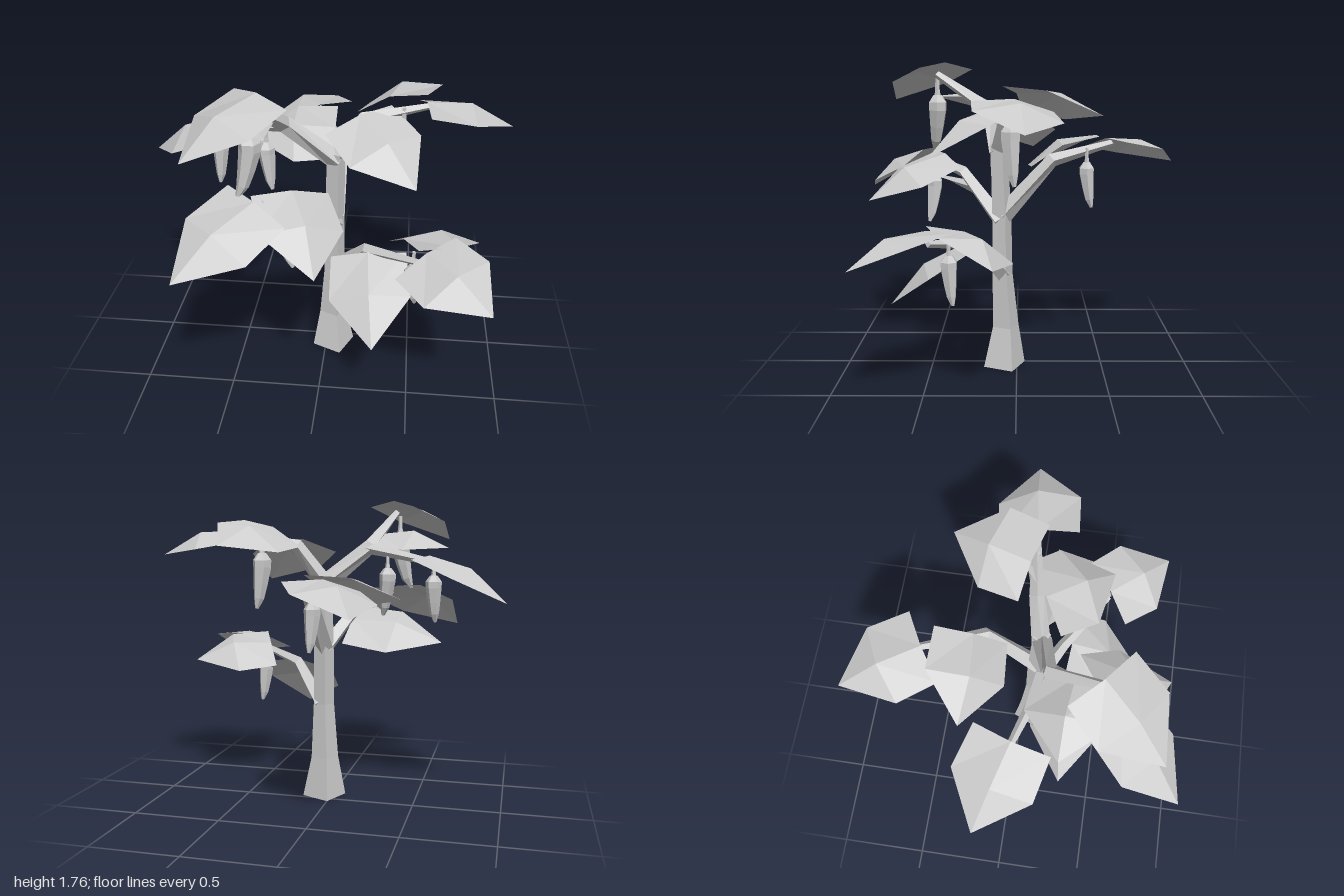
import * as THREE from 'three';

const V = (a) => new THREE.Vector3(...a);
const solid = () => new THREE.MeshStandardMaterial({ color: 0xcccccc, flatShading: true });
const thin = () => new THREE.MeshStandardMaterial({ color: 0xcccccc, flatShading: true, side: THREE.DoubleSide });

function meshFrom(name, verts, faces, material) {
  const geo = new THREE.BufferGeometry();
  geo.setAttribute('position', new THREE.Float32BufferAttribute(verts.flatMap((v) => [v.x, v.y, v.z]), 3));
  geo.setIndex(faces.flat());
  geo.computeVertexNormals();
  const mesh = new THREE.Mesh(geo, material);
  mesh.name = name;
  return mesh;
}

// Tapered polygonal limb through the given points, capped at both ends
function limb(name, path, radii, sides, ref) {
  const pts = path.map(V), verts = [], faces = [];
  pts.forEach((p, i) => {
    const t = pts[Math.min(i + 1, pts.length - 1)].clone().sub(pts[Math.max(i - 1, 0)]).normalize();
    // The foot of a limb standing on the ground is cut level
    if (p.y === 0) t.set(0, 1, 0);
    const n = V(ref).addScaledVector(t, -V(ref).dot(t)).normalize();
    const b = t.clone().cross(n);
    for (let j = 0; j < sides; j++) {
      const a = (j / sides) * Math.PI * 2;
      verts.push(p.clone().addScaledVector(n, Math.cos(a) * radii[i]).addScaledVector(b, Math.sin(a) * radii[i]));
    }
  });
  const last = (pts.length - 1) * sides, c0 = verts.length;
  verts.push(pts[0], pts[pts.length - 1]);
  for (let j = 0; j < sides; j++) {
    const k = (j + 1) % sides;
    for (let r = 0; r < last; r += sides) {
      faces.push([r + j, r + k, r + sides + k], [r + j, r + sides + k, r + sides + j]);
    }
    faces.push([c0, k, j], [c0 + 1, last + j, last + k]);
  }
  return meshFrom(name, verts, faces, solid());
}

// Folded, drooping leaf from its base to its tip; tilt raises one side
function leaf(base, tip, tilt) {
  const b = V(base), d = V(tip).sub(b), dir = d.clone().normalize();
  const side = new THREE.Vector3(d.z, 0, -d.x).normalize();
  side.y = tilt;
  side.addScaledVector(dir, -side.dot(dir)).normalize();
  const up = dir.clone().cross(side);
  const at = (u, v, h) => b.clone().addScaledVector(d, u).addScaledVector(side, v).addScaledVector(up, h);
  const verts = [
    at(0, 0.21, -0.04), at(0, 0, 0), at(0, -0.21, -0.04),
    at(0.48, 0.222, -0.01), at(0.48, 0, 0.06), at(0.48, -0.222, -0.01), at(1, 0, 0),
  ];
  const faces = [[0, 1, 4], [0, 4, 3], [1, 2, 5], [1, 5, 4], [3, 4, 6], [4, 5, 6]];
  return meshFrom('leaf', verts, faces, thin());
}

// Hanging pepper: thin stem, shouldered cap and a bent, tapering pod
function pepper([x, y, z], size, bendX, bendZ) {
  const g = new THREE.Group();
  g.name = 'pepper';
  const p = (drop, bend) => [x + bend * bendX, y - drop * size, z + bend * bendZ];
  g.add(limb('pepperStem', [p(0, 0), p(0.06, 0), p(0.11, 0)], [0.01, 0.012, 0.02].map((r) => r * size), 5, [1, 0, 0]));
  g.add(limb('pepperPod',
    [p(0.085, 0), p(0.12, 0), p(0.155, 0), p(0.24, 0.3), p(0.31, 0.6), p(0.36, 1)],
    [0.022, 0.048, 0.047, 0.037, 0.027, 0.009].map((r) => r * size), 6, [1, 0, 0]));
  return g;
}

export function createModel() {
  const plant = new THREE.Group();
  plant.name = 'pepperPlant';

  // Four-sided trunk
  plant.add(limb('trunk',
    [[0.045, 0, 0.0725], [0.04, 0.24, 0.065], [0.05, 0.56, 0.082], [0.05, 0.9, 0.085], [0.055, 1.31, 0.1]],
    [0.128, 0.08, 0.061, 0.058, 0.05], 4, [0.36, 0, 0.93]));

  // Branches: path and radii
  const branches = [
    ['upperRightBranch', [[0.06, 1.26, 0.1], [-0.21, 1.49, 0.17], [-0.31, 1.69, 0.48]], [0.055, 0.045, 0.022]],
    ['sideRightBranch', [[-0.19, 1.48, 0.17], [-0.4, 1.44, 0.09], [-0.6, 1.4, 0.02]], [0.035, 0.026, 0.018]],
    ['upperLeftBranch', [[0.04, 1.26, 0.1], [0.2, 1.49, 0.05], [0.55, 1.555, 0]], [0.052, 0.04, 0.018]],
    ['backBranch', [[0.05, 0.9, 0.08], [0.06, 1.22, -0.2], [-0.1, 1.3, -0.55]], [0.055, 0.04, 0.02]],
    ['frontRightBranch', [[0.06, 0.87, 0.09], [-0.11, 1.13, 0.31], [-0.28, 1.2, 0.52]], [0.052, 0.036, 0.02]],
    ['frontLeftBranch', [[0.06, 0.56, 0.08], [0.24, 0.78, 0.22], [0.56, 0.85, 0.45]], [0.05, 0.035, 0.018]],
  ];
  for (const [name, path, radii] of branches) plant.add(limb(name, path, radii, 4, [0, 1, 0]));

  // Leaves: base, tip, tilt
  const leaves = [
    [[-0.57, 1.44, 0.03], [-1, 1.19, -0.11], -0.1],
    [[-0.1, 1.33, -0.52], [-0.33, 1.17, -0.945], -0.15],
    [[0.02, 1.3, -0.26], [-0.47, 1.21, -0.27], -0.45],
    [[0.33, 1.6, 0], [0.5, 1.495, -0.435], -0.42],
    [[0.18, 1.53, 0.1], [0.49, 1.28, 0.45], 0.25],
    [[0.53, 1.58, 0.01], [0.995, 1.44, -0.04], -0.15],
    [[0.44, 0.89, 0.27], [0.87, 0.79, 0.11], -0.45],
    [[0.56, 0.92, 0.455], [0.89, 0.79, 0.8], 0.3],
    [[0.25, 0.79, 0.27], [0.3, 0.45, 0.69], 0.18],
    [[-0.31, 1.24, 0.57], [-0.66, 0.97, 0.94], -0.3],
    [[-0.14, 1.235, 0.42], [0.02, 0.98, 0.85], -0.18],
    [[-0.08, 1.05, 0.28], [-0.62, 0.92, 0.29], 0.55],
    [[-0.3, 1.76, 0.43], [-0.61, 1.53, 0.775], 0.03],
    [[-0.24, 1.56, 0.3], [-0.65, 1.48, 0.27], 0.2],
  ];
  for (const [base, tip, tilt] of leaves) plant.add(leaf(base, tip, tilt));

  // Peppers: hanging point, size and sideways bend of the pod
  const peppers = [
    [[-0.595, 1.41, 0.03], 0.95, -0.01, 0.02],
    [[-0.335, 1.67, 0.48], 1.22, -0.07, 0.03],
    [[-0.32, 1.45, 0.12], 1.0, 0.03, 0.03],
    [[0.41, 1.55, 0.03], 1.18, 0.03, -0.02],
    [[0.5, 0.86, 0.35], 0.97, 0.02, -0.02],
    [[-0.01, 1.28, -0.4], 0.95, 0.01, -0.03],
    [[-0.18, 1.19, 0.49], 1.0, 0.05, 0.03],
  ];
  for (const p of peppers) plant.add(pepper(...p));
  return plant;
}
